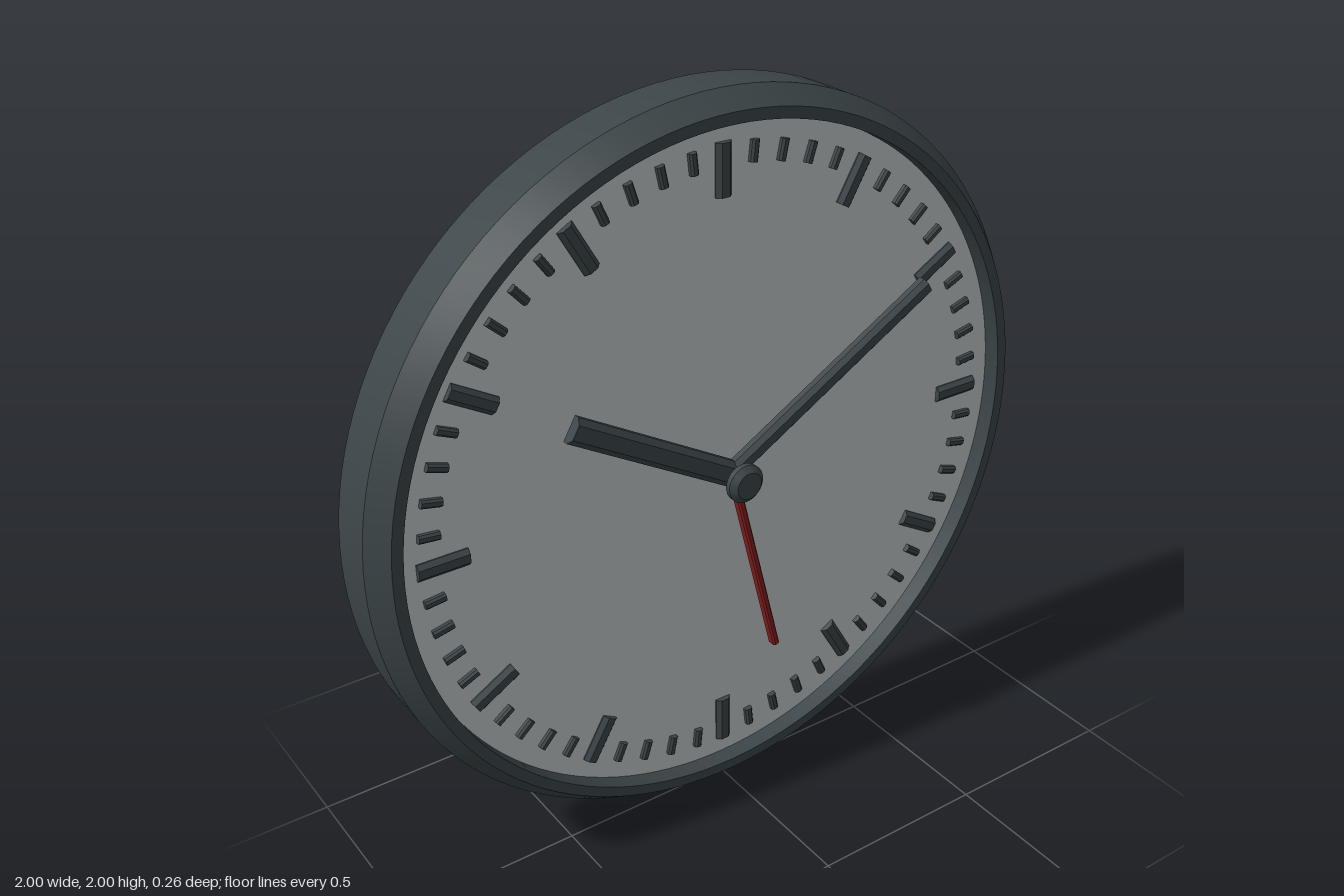
import * as THREE from 'three';
import { toCreasedNormals } from 'three/addons/utils/BufferGeometryUtils.js';

const slate = new THREE.MeshStandardMaterial({ color: 0x3c4548 });
slate.name = 'slate';
const silver = new THREE.MeshStandardMaterial({ color: 0xc6cacd });
silver.name = 'silver';
const red = new THREE.MeshStandardMaterial({ color: 0x8a1f1f });
red.name = 'red';

// Turned part: profile of [radius, z] points around the z axis, chamfers kept sharp
function turned(name, profile, segments, material) {
  const points = profile.map(([r, z]) => new THREE.Vector2(r, z));
  const geometry = toCreasedNormals(new THREE.LatheGeometry(points, segments), 0.4);
  geometry.rotateX(Math.PI / 2);
  const mesh = new THREE.Mesh(geometry, material);
  mesh.name = name;
  return mesh;
}

// Radial bar with chamfered upper edges, from radius r0 to r1, turned clockwise from 12
function bar(name, width, r0, r1, z0, z1, degrees, material) {
  const w = width / 2;
  const c = Math.min(width * 0.25, (z1 - z0) * 0.5);
  const section = new THREE.Shape([
    [-w, z0], [w, z0], [w, z1 - c], [w - c, z1], [-w + c, z1], [-w, z1 - c],
  ].map(([x, y]) => new THREE.Vector2(x, y)));
  const geometry = new THREE.ExtrudeGeometry(section, { depth: r1 - r0, bevelEnabled: false });
  geometry.rotateX(Math.PI / 2).translate(0, r1, 0);
  const mesh = new THREE.Mesh(geometry, material);
  mesh.name = name;
  mesh.rotation.z = -THREE.MathUtils.degToRad(degrees);
  return mesh;
}

export function createModel() {
  const model = new THREE.Group();
  model.name = 'wallClock';
  const clock = new THREE.Group();
  clock.name = 'clock';
  clock.position.y = 1;
  model.add(clock);

  // Case: flat back, straight side, chamfered rim and recessed inner wall
  clock.add(turned('case', [
    [0, -0.13], [1, -0.13], [1, 0], [0.957, 0.06], [0.927, 0.06], [0.927, 0],
  ], 128, slate));

  // Dial
  const dial = new THREE.Mesh(new THREE.CircleGeometry(0.93, 128), silver);
  dial.name = 'dial';
  dial.position.z = 0.01;
  clock.add(dial);

  // Hour and minute marks
  const marks = new THREE.Group();
  marks.name = 'marks';
  for (let i = 0; i < 60; i++) {
    marks.add(i % 5 === 0
      ? bar('hourMark', 0.046, 0.74, 0.875, 0, 0.025, i * 6, slate)
      : bar('minuteMark', 0.022, 0.815, 0.87, 0, 0.025, i * 6, slate));
  }
  clock.add(marks);

  // Hands
  clock.add(bar('hourHand', 0.07, 0, 0.535, 0.035, 0.066, -60, slate));
  clock.add(bar('minuteHand', 0.05, 0, 0.74, 0.035, 0.065, 60, slate));
  clock.add(bar('secondHand', 0.02, 0, 0.6, 0.045, 0.07, 166, red));

  // Centre cap
  clock.add(turned('centreCap', [
    [0, 0.1], [0.053, 0.1], [0.053, 0.115], [0.037, 0.13], [0, 0.13],
  ], 32, slate));

  return model;
}
